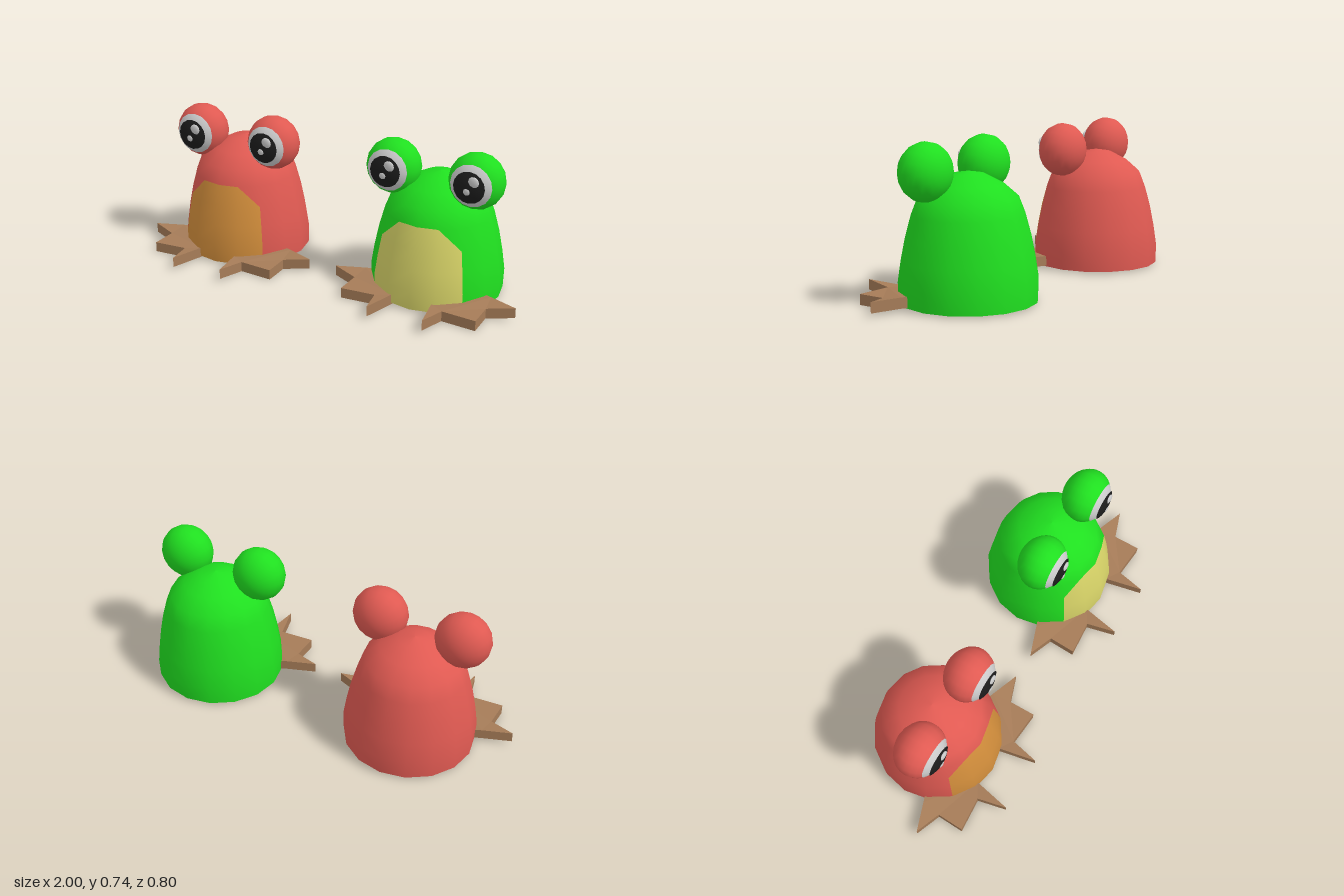
import * as THREE from 'three';

const SIDES = 16;
const BODY_Z = -0.09;
const mat = (color) => new THREE.MeshStandardMaterial({ color });

function add(parent, name, geometry, material, x = 0, y = 0, z = 0) {
  const mesh = new THREE.Mesh(geometry, material);
  mesh.name = name;
  mesh.position.set(x, y, z);
  parent.add(mesh);
  return mesh;
}

// Body shell as one lathe, its faces sorted into skin and belly patch
function bodyGeometries() {
  const profile = [
    [0.316, 0.008], [0.319, 0.1], [0.304, 0.2], [0.284, 0.3], [0.257, 0.4],
    [0.228, 0.475], [0.16, 0.535], [0.075, 0.58], [0, 0.592],
  ].map(([r, y]) => new THREE.Vector2(r, y));
  const lathe = new THREE.LatheGeometry(profile, SIDES, -Math.PI, Math.PI * 2);
  const n = profile.length, mid = SIDES / 2;
  const skin = [], belly = [];
  for (let i = 0; i < SIDES; i++) {
    const left = i >= mid;
    const col = left ? i - mid : mid - 1 - i; // columns away from the front
    for (let j = 0; j < n - 1; j++) {
      const a = i * n + j, b = a + n, c = b + 1, d = a + 1;
      // diagonals are mirrored so the patch corners are symmetrical
      const lower = left ? [a, b, d] : [a, b, c];
      const upper = left ? [b, c, d] : [a, c, d];
      const lowerIn = col < 2 && j < 4;
      const upperIn = lowerIn && (j < 3 || col < 1);
      (lowerIn ? belly : skin).push(...lower);
      (upperIn ? belly : skin).push(...upper);
    }
  }
  return [skin, belly].map((index) => {
    const g = lathe.clone();
    g.setIndex(index);
    return g;
  });
}

// Webbed foot: spiky outline from the heel, toe tips slightly raised
function footGeometry(side) {
  const outline = [
    [0.01, -0.085], [0.325, 0.03], [0.463, 0.08], [0.337, 0.125],
    [0.34, 0.258], [0.17, 0.245], [0.138, 0.39], [0.1, 0.2],
  ];
  const shape = new THREE.Shape(outline.map(([x, z]) => new THREE.Vector2(side * x, -z)));
  const g = new THREE.ExtrudeGeometry(shape, { depth: 0.05, bevelEnabled: false });
  g.rotateX(-Math.PI / 2);
  const p = g.attributes.position;
  for (let i = 0; i < p.count; i++) {
    const x = Math.abs(p.getX(i)), z = p.getZ(i);
    if (z > 0.3 || (x > 0.3 && z < 0.1)) p.setY(i, p.getY(i) + 0.013);
  }
  g.computeVertexNormals();
  return g;
}

// Part of a flattened ball whose pole faces forward
function eyeZone(from, to, scale = 1) {
  const g = new THREE.SphereGeometry(1, SIDES, 10, 0, Math.PI * 2, from, to - from);
  g.rotateX(Math.PI / 2);
  g.scale(0.134 * scale, 0.134 * scale, 0.115 * scale);
  return g;
}

function makeEye(skin) {
  const eye = new THREE.Group();
  const white = mat(0xcccccc);
  add(eye, 'eyelid', eyeZone(0.86, Math.PI), skin);
  add(eye, 'eyeWhite', eyeZone(0, 0.86), white);
  add(eye, 'pupil', eyeZone(0, 0.58, 1.04), mat(0x1c1c1c));
  // highlights
  for (const [r, x, y, z] of [[0.027, 0.024, 0.032, 0.111], [0.017, -0.004, -0.015, 0.117]]) {
    const spot = add(eye, 'eyeHighlight', new THREE.SphereGeometry(r, 12, 8), white, x, y, z);
    spot.scale.z = 0.35;
  }
  return eye;
}

function makeFrog(name, x, skinColor, bellyColor) {
  const frog = new THREE.Group();
  frog.name = name;
  frog.position.x = x;
  const skin = mat(skinColor), brown = mat(0xa67c58);

  const [skinGeo, bellyGeo] = bodyGeometries();
  add(frog, 'body', skinGeo, skin, 0, 0, BODY_Z);
  add(frog, 'belly', bellyGeo, mat(bellyColor), 0, 0, BODY_Z);
  const base = new THREE.CircleGeometry(0.316, SIDES).rotateX(Math.PI / 2);
  add(frog, 'bodyBase', base, skin, 0, 0.008, BODY_Z);

  for (const side of [1, -1]) {
    const label = side > 0 ? 'left' : 'right';
    const eye = makeEye(skin);
    eye.name = label + 'Eye';
    eye.position.set(side * 0.208, 0.602, -0.02);
    frog.add(eye);
    add(frog, label + 'Foot', footGeometry(side), brown);
  }
  return frog;
}

export function createModel() {
  const model = new THREE.Group();
  model.name = 'frogPair';
  model.add(makeFrog('redFrog', -0.537, 0xe05a52, 0xd48f3c));
  model.add(makeFrog('greenFrog', 0.537, 0x20e020, 0xd8d468));
  return model;
}
